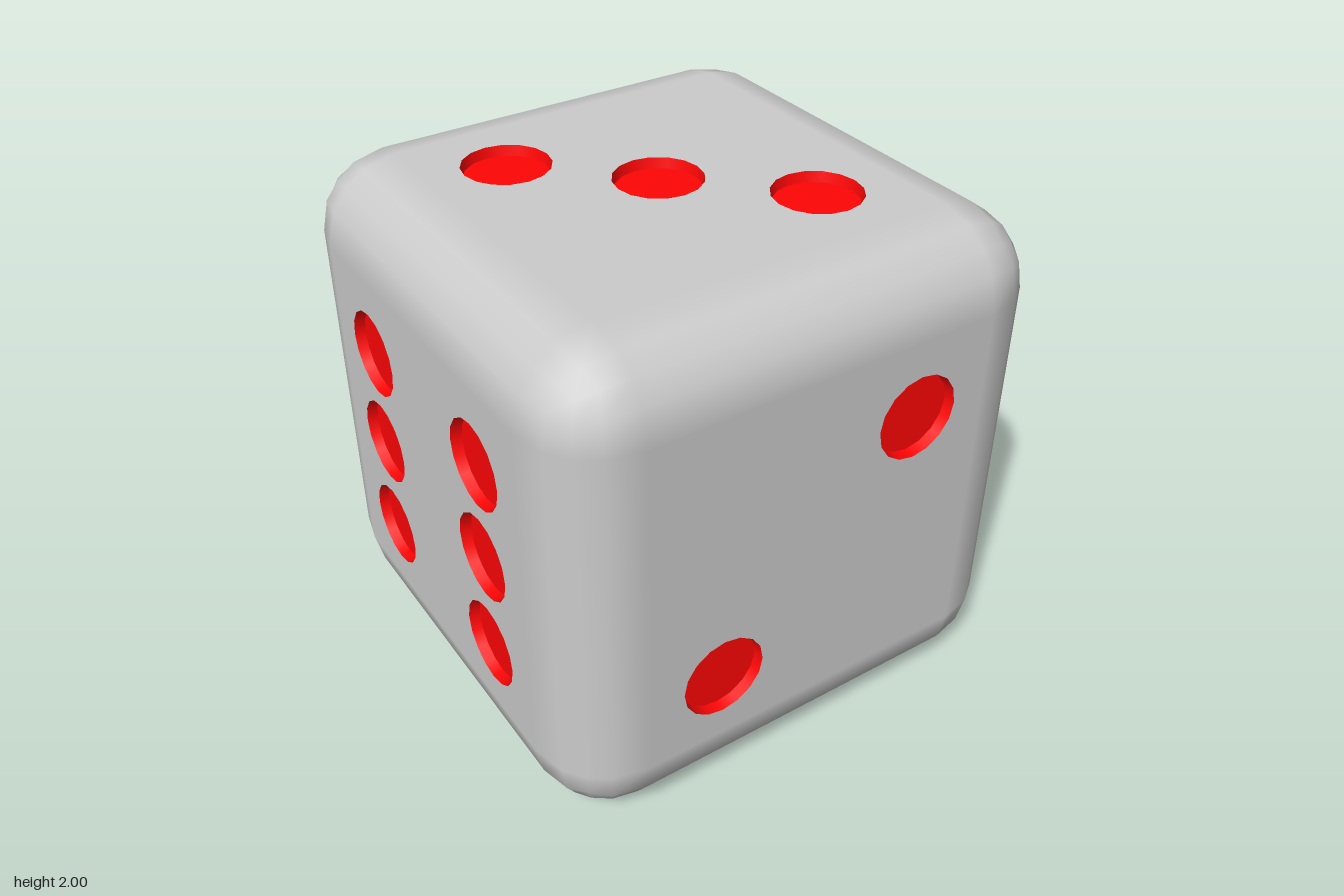
import * as THREE from 'three';
import { RoundedBoxGeometry } from 'three/addons/geometries/RoundedBoxGeometry.js';

const RADIUS = 0.3;        // rounding of edges and corners
const FLAT = 1 - RADIUS;   // half width of each flat face
const PIP_R = 0.168, PIP_DEPTH = 0.04, PIP_SIDES = 16;

const grey = new THREE.MeshStandardMaterial({ color: 0xcccccc });
const red = new THREE.MeshStandardMaterial({ color: 0xff0505, side: THREE.DoubleSide });

// Rounded edges and corners only: drop the flat triangles of a rounded box
function roundedRim() {
  const box = new RoundedBoxGeometry(2, 2, 2, 2, RADIUS).toNonIndexed();
  const p = box.attributes.position, n = box.attributes.normal;
  const pos = [], nor = [];
  for (let i = 0; i < p.count; i += 3) {
    const flat = ['getX', 'getY', 'getZ'].some(get =>
      [0, 1, 2].every(k => Math.abs(p[get](i + k)) > 0.9999));
    if (flat) continue;
    for (let k = i; k < i + 3; k++) {
      pos.push(p.getX(k), p.getY(k), p.getZ(k));
      nor.push(n.getX(k), n.getY(k), n.getZ(k));
    }
  }
  const rim = new THREE.BufferGeometry();
  rim.setAttribute('position', new THREE.Float32BufferAttribute(pos, 3));
  rim.setAttribute('normal', new THREE.Float32BufferAttribute(nor, 3));
  return rim;
}

// Sunken pip: tapered wall and floor, opening towards +z
const wallGeo = new THREE.CylinderGeometry(PIP_R, PIP_R - 0.008, PIP_DEPTH, PIP_SIDES, 1, true)
  .rotateX(Math.PI / 2).translate(0, 0, -PIP_DEPTH / 2);
const floorGeo = new THREE.CircleGeometry(PIP_R - 0.008, PIP_SIDES).translate(0, 0, -PIP_DEPTH);

function named(geometry, material, name) {
  const mesh = new THREE.Mesh(geometry, material);
  mesh.name = name;
  return mesh;
}

// One side of the die: flat panel with holes, plus its pips
function makeFace(name, spots) {
  const face = new THREE.Group();
  face.name = name;
  const panel = new THREE.Shape([[-1, -1], [1, -1], [1, 1], [-1, 1]]
    .map(([x, y]) => new THREE.Vector2(x * FLAT, y * FLAT)));
  for (const [u, v] of spots) {
    const ring = [];
    for (let i = 0; i < PIP_SIDES; i++) {
      const a = -i / PIP_SIDES * Math.PI * 2;
      ring.push(new THREE.Vector2(u + PIP_R * Math.cos(a), v + PIP_R * Math.sin(a)));
    }
    panel.holes.push(new THREE.Path(ring));
    const pip = new THREE.Group();
    pip.name = 'pip';
    pip.add(named(wallGeo, red, 'pipWall'), named(floorGeo, red, 'pipFloor'));
    pip.position.set(u, v, 1);
    face.add(pip);
  }
  face.add(named(new THREE.ShapeGeometry(panel).translate(0, 0, 1), grey, 'facePanel'));
  return face;
}

export function createModel() {
  const die = new THREE.Group();
  die.name = 'die';
  const body = new THREE.Group();
  body.name = 'body';
  body.position.y = 1;
  die.add(body);
  body.add(named(roundedRim(), grey, 'roundedEdges'));

  const H = Math.PI / 2, s = 0.4;
  const corners = [[-s, -s], [s, -s], [s, s], [-s, s]];
  // name, rotation about x, rotation about y, pip positions on the face
  const faces = [
    ['frontFace', 0, 0, [[s, 0.39], [-0.39, -0.42]]],
    ['rightHandFace', 0, H, [[0, 0]]],
    ['backFace', 0, 2 * H, [...corners, [-0.01, 0]]],
    ['leftHandFace', 0, -H, [-s, s].flatMap(u => [0.39, -0.01, -0.42].map(v => [u, v]))],
    ['topFace', -H, 0, [[-0.41, 0.39], [-0.01, 0], [0.39, -s]]],
    ['bottomFace', H, 0, corners],
  ];
  for (const [name, rx, ry, spots] of faces) {
    const face = makeFace(name, spots);
    face.rotation.set(rx, ry, 0);
    body.add(face);
  }
  return die;
}
